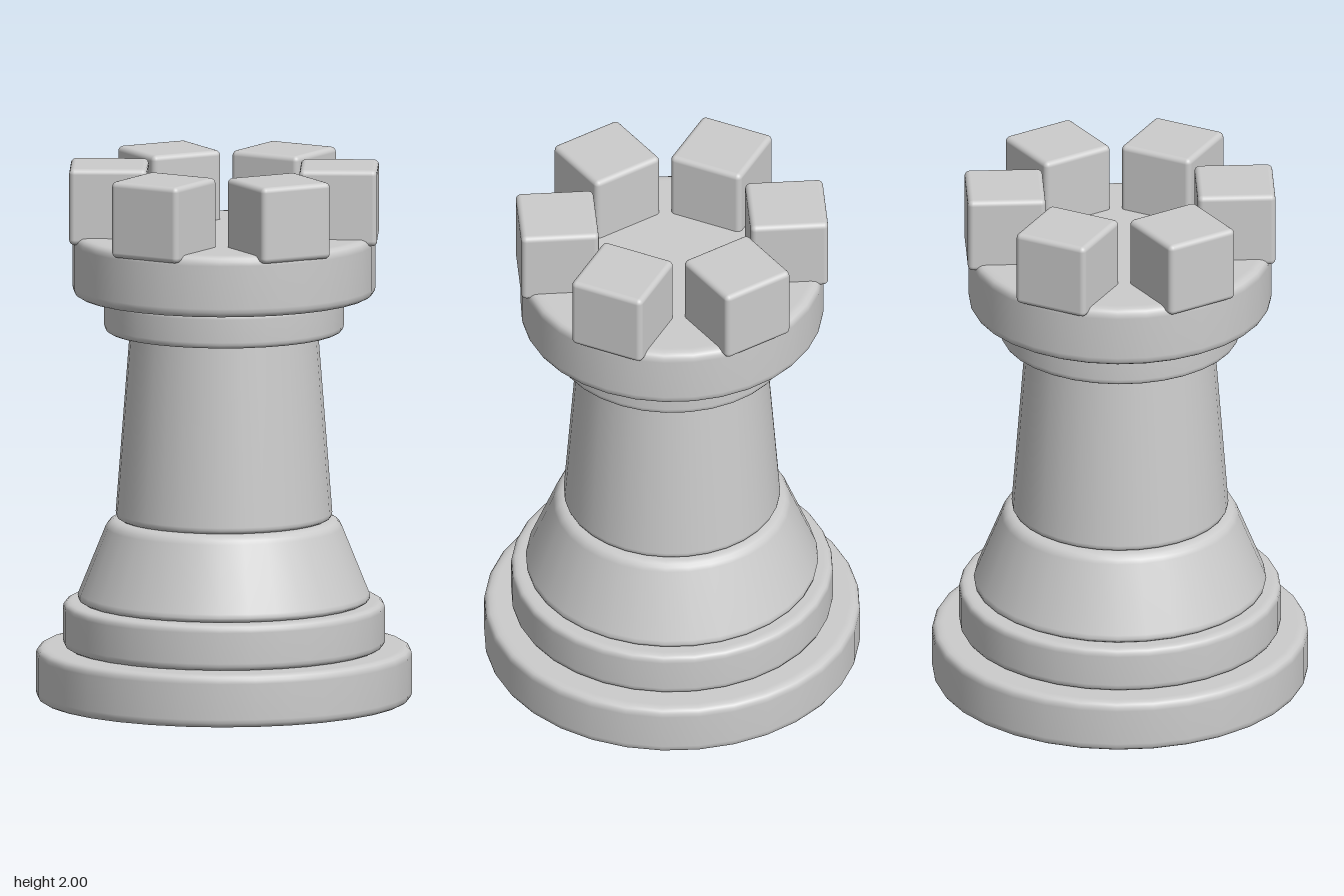
import * as THREE from 'three';
import { RoundedBoxGeometry } from 'three/addons/geometries/RoundedBoxGeometry.js';

const SIDES = 32;
const material = new THREE.MeshStandardMaterial({ color: 0xcccccc });

// Solid disc or frustum with softly rounded rims
function roundedDisc(name, y0, y1, r0, r1, bevel) {
  const bottom = new THREE.Vector2(r0, y0);
  const top = new THREE.Vector2(r1, y1);
  const up = top.clone().sub(bottom).setLength(bevel);
  const a = bottom.clone().add(up);
  const b = top.clone().sub(up);
  const profile = new THREE.Path();
  profile.moveTo(0, y0);
  profile.lineTo(r0 - bevel * 1.3, y0); // extra loop keeps the cap flat
  profile.lineTo(r0 - bevel, y0);
  profile.quadraticCurveTo(r0, y0, a.x, a.y);
  profile.lineTo(b.x, b.y);
  profile.quadraticCurveTo(r1, y1, r1 - bevel, y1);
  profile.lineTo(r1 - bevel * 1.3, y1);
  profile.lineTo(0, y1);
  const mesh = new THREE.Mesh(new THREE.LatheGeometry(profile.getPoints(4), SIDES), material);
  mesh.name = name;
  return mesh;
}

export function createModel() {
  const model = new THREE.Group();
  model.name = 'rook';

  // Stacked body, from the foot upwards: name, bottom, top, lower radius, upper radius, bevel
  const tiers = [
    ['foot', 0, 0.197, 0.695, 0.695, 0.032],
    ['footStep', 0.197, 0.368, 0.595, 0.595, 0.028],
    ['skirt', 0.368, 0.677, 0.55, 0.425, 0.035],
    ['column', 0.677, 1.39, 0.402, 0.347, 0.025],
    ['collar', 1.378, 1.512, 0.443, 0.443, 0.024],
    ['crown', 1.512, 1.742, 0.56, 0.56, 0.035],
  ];
  for (const tier of tiers) model.add(roundedDisc(...tier));

  // Six battlement blocks in a ring on the crown
  const block = new RoundedBoxGeometry(0.288, 0.285, 0.288, 3, 0.02);
  for (let i = 0; i < 6; i++) {
    const angle = (i * Math.PI) / 3;
    const merlon = new THREE.Mesh(block, material);
    merlon.name = `battlement${i + 1}`;
    merlon.position.set(0.425 * Math.cos(angle), 1.8575, -0.425 * Math.sin(angle));
    merlon.rotation.y = angle;
    model.add(merlon);
  }
  return model;
}
